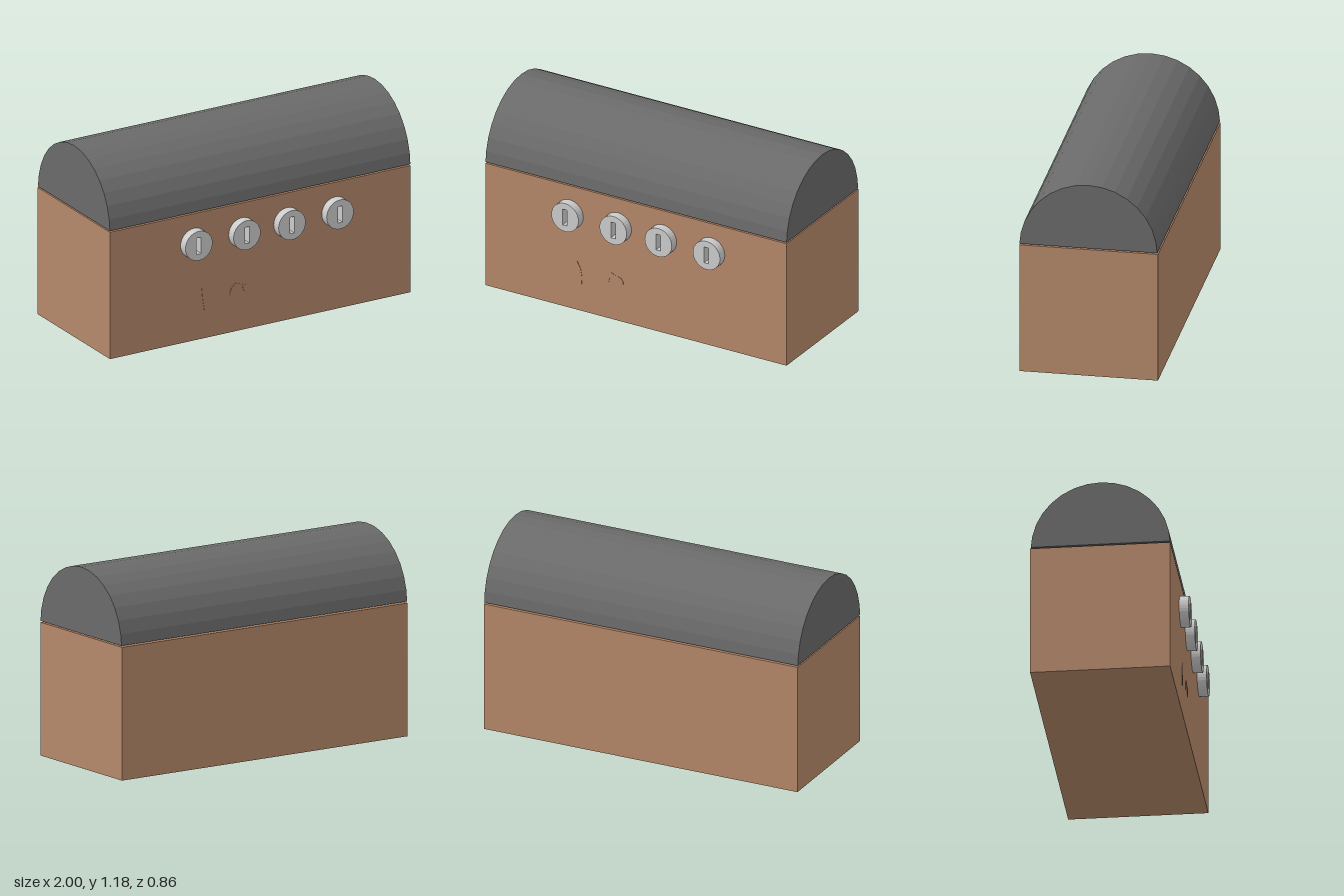
import * as THREE from 'three';

const paint = (color) => new THREE.MeshStandardMaterial({ color, flatShading: true });
const outline = (pts) => new THREE.Shape(pts.map(([x, y]) => new THREE.Vector2(x, y)));
const extrude = (shape, depth, curveSegments = 16) =>
  new THREE.ExtrudeGeometry(shape, { depth, bevelEnabled: false, curveSegments });

export function createModel() {
  const group = new THREE.Group();
  const wood = paint(0xb4886a);
  const dark = paint(0x6a6a6a);
  const metal = paint(0xcccccc);

  const add = (name, geometry, material, x = 0, y = 0, z = 0) => {
    const mesh = new THREE.Mesh(geometry, material);
    mesh.name = name;
    mesh.position.set(x, y, z);
    group.add(mesh);
    return mesh;
  };

  const frontZ = 0.375;
  const centreZ = -0.027;

  // Wooden box
  add('chestBody', new THREE.BoxGeometry(2, 0.78, 0.805), wood, 0, 0.39, centreZ);

  // Faceted half-round lid, running along x
  const arc = [];
  for (let i = 0; i <= 16; i++) {
    const a = (i / 16) * Math.PI;
    arc.push([0.4 * Math.cos(a), Math.max(0.4 * Math.sin(a), 0.011)]);
  }
  const lid = extrude(outline(arc), 2);
  lid.translate(0, 0, -1);
  lid.rotateY(Math.PI / 2);
  add('lid', lid, dark, 0, 0.777, centreZ + 0.002);

  // Shallow tapered underside between lid and box
  const seam = new THREE.BoxGeometry(2, 0.008, 0.798);
  const p = seam.attributes.position;
  for (let i = 0; i < p.count; i++) {
    if (p.getY(i) < 0) p.setXYZ(i, p.getX(i) * 0.88, p.getY(i), p.getZ(i) * 0.84);
  }
  seam.computeVertexNormals();
  add('lidUnderside', seam, dark, 0, 0.784, centreZ + 0.002);

  // Round locks with a keyhole slot cut through
  const disc = new THREE.Shape().absarc(0, 0, 0.09, 0, Math.PI * 2);
  disc.holes.push(outline([[-0.015, -0.05], [-0.015, 0.05], [0.015, 0.05], [0.015, -0.05]]));
  const lockGeometry = extrude(disc, 0.055);
  for (const x of [-0.44, -0.12, 0.18, 0.5]) add('lock', lockGeometry, metal, x, 0.6, frontZ);

  // Faint curved marks on the front
  const marks = [
    [[-0.39, 0.31], [-0.385, 0.25], [-0.372, 0.172], [-0.36, 0.172], [-0.358, 0.22], [-0.368, 0.27]],
    [[-0.203, 0.232], [-0.195, 0.27], [-0.165, 0.297], [-0.135, 0.285], [-0.165, 0.278], [-0.175, 0.255], [-0.182, 0.232]],
    [[-0.12, 0.282], [-0.115, 0.25], [-0.102, 0.23], [-0.082, 0.23], [-0.085, 0.258], [-0.1, 0.276]],
  ];
  for (const pts of marks) add('frontMark', extrude(outline(pts), 0.003), wood, 0, 0, frontZ);

  return group;
}
